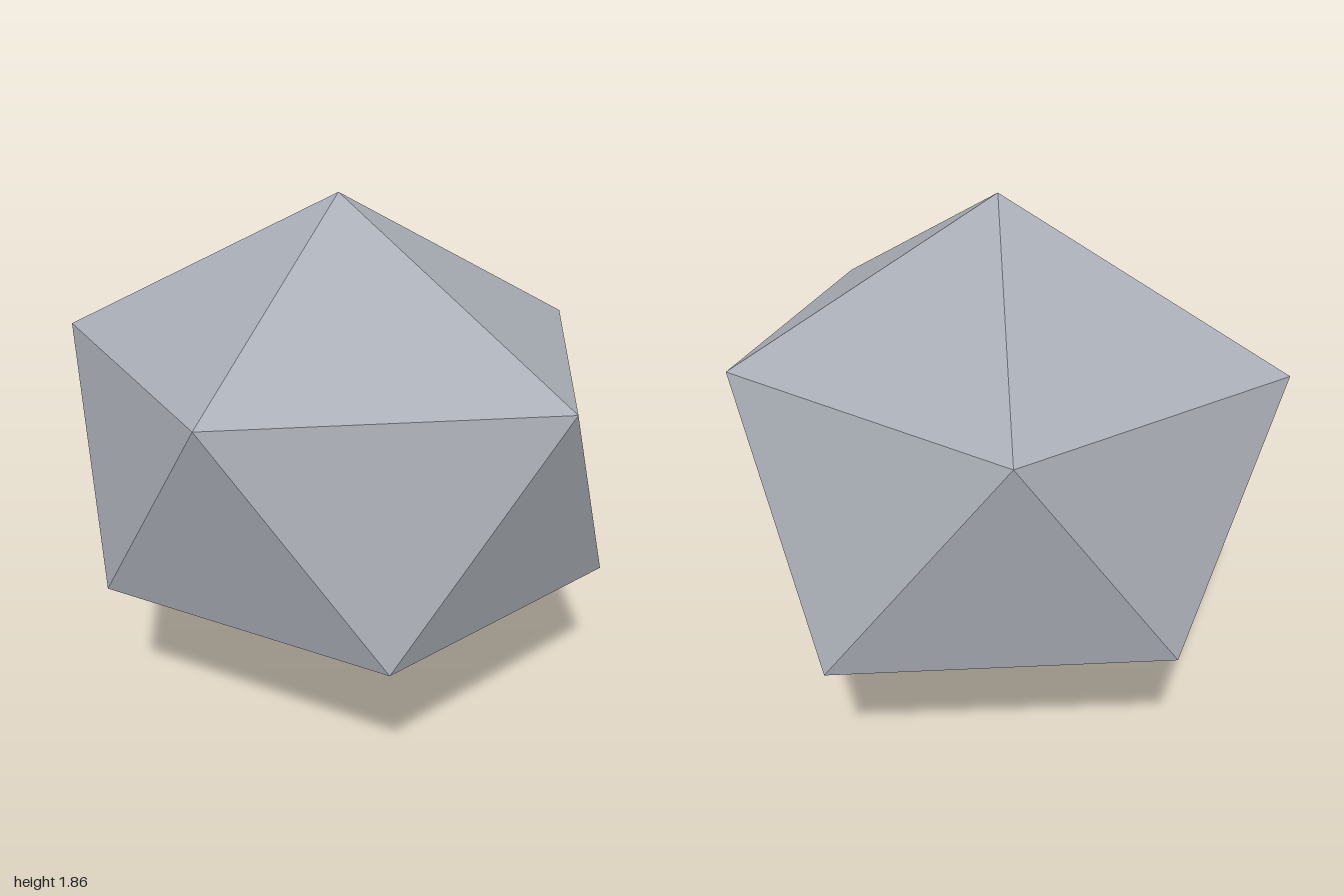
import * as THREE from 'three';

export function createModel() {
  const group = new THREE.Group();
  const stone = new THREE.MeshStandardMaterial({ color: 0xa8acb4, flatShading: true });
  stone.name = 'pale grey stone';

  // Two slightly uneven rings of five corners, staggered, with a tip above and below
  const top = [-0.02, 1.863, 0.025];
  const bottom = [-0.02, 0, 0.025];
  const upper = [
    [1.0, 1.337, 0.025], [0.283, 1.328, 0.907], [-0.861, 1.342, 0.593],
    [-0.802, 1.312, -0.503], [0.289, 1.333, -0.87],
  ];
  const lower = [
    [0.745, 0.548, 0.552], [-0.318, 0.548, 0.872], [-1.0, 0.538, 0.025],
    [-0.353, 0.505, -0.915], [0.79, 0.525, -0.525],
  ];

  // Cap, two belt triangles and base for each fifth
  const positions = [];
  const face = (...corners) => corners.forEach((p) => positions.push(...p));
  for (let i = 0; i < 5; i++) {
    const j = (i + 1) % 5;
    face(top, upper[j], upper[i]);
    face(upper[i], upper[j], lower[i]);
    face(lower[i], upper[j], lower[j]);
    face(bottom, lower[i], lower[j]);
  }

  const geometry = new THREE.BufferGeometry();
  geometry.setAttribute('position', new THREE.Float32BufferAttribute(positions, 3));
  geometry.computeVertexNormals();

  const rock = new THREE.Mesh(geometry, stone);
  rock.name = 'facetedRock';
  group.add(rock);
  return group;
}
